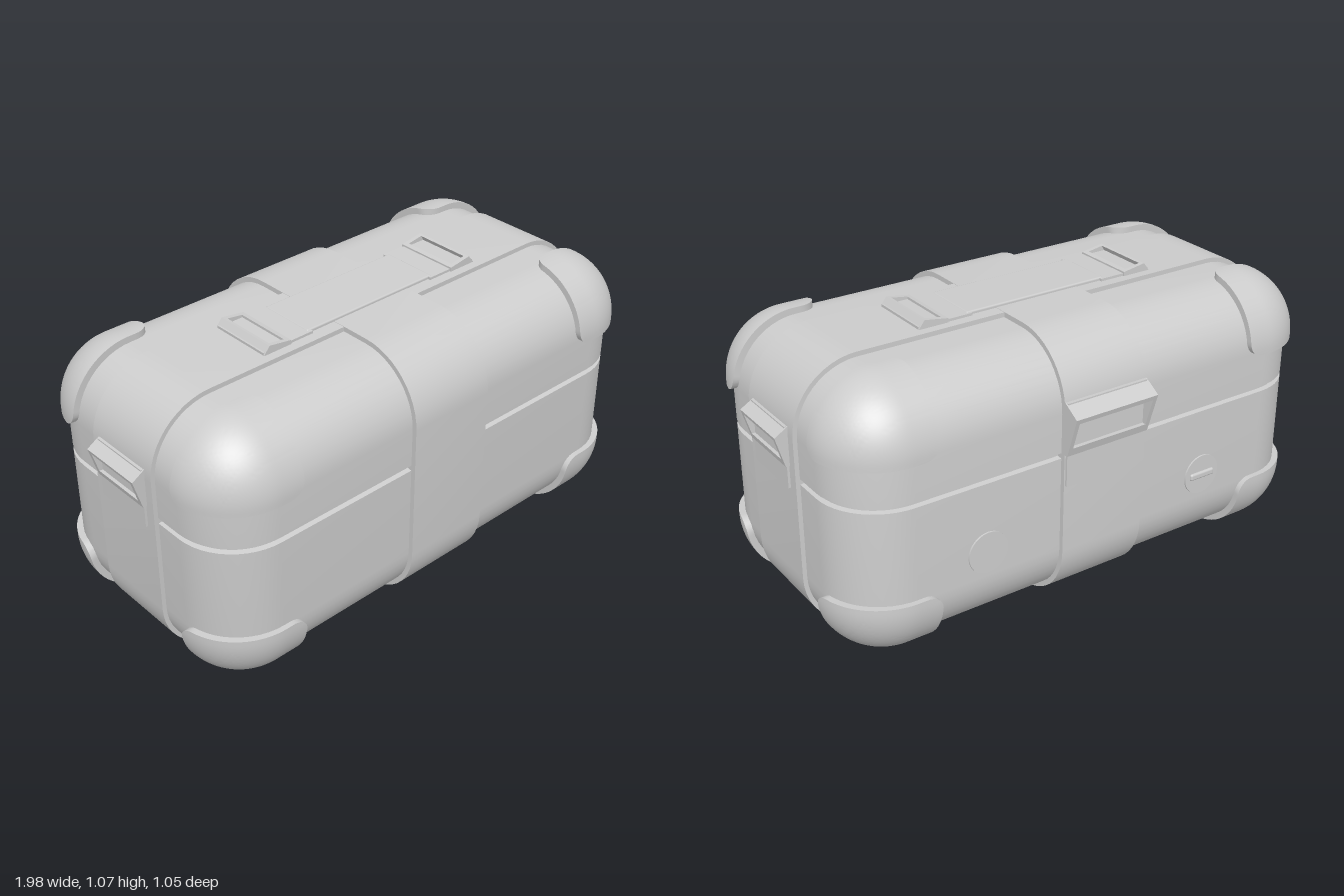
import * as THREE from 'three';
import { toCreasedNormals } from 'three/addons/utils/BufferGeometryUtils.js';
import { RoundedBoxGeometry } from 'three/addons/geometries/RoundedBoxGeometry.js';

const material = new THREE.MeshStandardMaterial({ color: 0xcccccc });

function add(parent, name, geometry, x = 0, y = 0, z = 0) {
  const mesh = new THREE.Mesh(geometry, material);
  mesh.name = name;
  mesh.position.set(x, y, z);
  parent.add(mesh);
  return mesh;
}

function fromTriangles(points) {
  const g = new THREE.BufferGeometry().setFromPoints(points);
  g.computeVertexNormals();
  return toCreasedNormals(g, 0.55);
}

// Outline of a rounded rectangle with half sizes w, h and corner radius r
function roundedRect(w, h, r, steps = 12) {
  const pts = [];
  [[1, 1], [-1, 1], [-1, -1], [1, -1]].forEach(([sx, sy], q) => {
    for (let i = 0; i <= steps; i++) {
      const a = (q + i / steps) * Math.PI / 2;
      pts.push(new THREE.Vector2(sx * (w - r) + r * Math.cos(a), sy * (h - r) + r * Math.sin(a)));
    }
  });
  return pts;
}

// Case body: rounded rectangles stacked from bottom to top, with the lid groove
function bodyGeometry(w, h, d, r, seam) {
  const profile = [], steps = 12;
  for (let i = 0; i <= steps; i++) {
    const a = (1 - i / steps) * Math.PI / 2;
    profile.push([r * (1 - Math.cos(a)), -(h - r) - r * Math.sin(a)]);
  }
  const top = profile.map(([inset, y]) => [inset, -y]).reverse();
  profile.push([0, seam - 0.01], [0.018, seam - 0.007], [0.018, seam + 0.007], [0, seam + 0.01], ...top);
  const rings = profile.map(([inset, y]) =>
    roundedRect(w - inset, d - inset, Math.max(r - inset, 0.0005)).map(p => new THREE.Vector3(p.x, y, p.y)));
  const tris = [], n = rings[0].length;
  const low = new THREE.Vector3(0, -h, 0), high = new THREE.Vector3(0, h, 0);
  const last = rings[rings.length - 1];
  for (let j = 0; j < n; j++) {
    const k = (j + 1) % n;
    for (let i = 0; i < rings.length - 1; i++) {
      const [a, b] = [rings[i], rings[i + 1]];
      tris.push(a[j], b[j], b[k], a[j], b[k], a[k]);
    }
    tris.push(low, rings[0][j], rings[0][k], high, last[k], last[j]);
  }
  return fromTriangles(tris);
}

// Solid strap with a rounded outline, centred along its width
function strapGeometry(w, h, r, width) {
  const g = new THREE.ExtrudeGeometry(new THREE.Shape(roundedRect(w, h, r)), { depth: width, bevelEnabled: false });
  return toCreasedNormals(g.translate(0, 0, -width / 2), 0.5);
}

// Corner guard: three faces of a rounded box corner, with a skirt down to the body
function cornerGeometry(signs) {
  const half = [0.953, 0.4925, 0.495], inner = [0.63, 0.243, 0.255];
  const r = 0.235, rho = 0.055, n = 20, skirt = 0.035;
  const flip = signs[0] * signs[1] * signs[2] < 0;
  const tris = [];
  for (let k = 0; k < 3; k++) {
    const i = (k + 1) % 3, j = (k + 2) % 3;
    const point = (u, v) => {
      const p = [0, 0, 0];
      p[k] = half[k];
      p[i] = inner[i] + (half[i] - inner[i]) * Math.max(u, 0) / n;
      p[j] = inner[j] + (half[j] - inner[j]) * Math.max(v, 0) / n;
      // round the inner corner of the outline
      const di = p[i] - inner[i] - rho, dj = p[j] - inner[j] - rho;
      if (di < 0 && dj < 0) {
        const s = Math.max(-di, -dj) / Math.hypot(di, dj);
        p[i] = inner[i] + rho + di * s;
        p[j] = inner[j] + rho + dj * s;
      }
      const core = p.map((c, m) => Math.min(c, half[m] - r));
      const normal = new THREE.Vector3(...p.map((c, m) => c - core[m])).normalize();
      const depth = u < 0 || v < 0 ? r - skirt : r;
      const out = new THREE.Vector3(...core).addScaledVector(normal, depth);
      return out.multiply(new THREE.Vector3(...signs));
    };
    for (let u = -1; u < n; u++) for (let v = -1; v < n; v++) {
      if (u < 0 && v < 0) continue;
      const a = point(u, v), b = point(u + 1, v), c = point(u + 1, v + 1), d = point(u, v + 1);
      if (flip) tris.push(a, c, b, a, d, c);
      else tris.push(a, b, c, a, c, d);
    }
  }
  return fromTriangles(tris);
}

// Latch: wedge-shaped open frame over a thin plate; local y runs along it, z points outwards
function latch(parent, name, size, position, up, out) {
  const { width, length, rise, plate } = size;
  const group = new THREE.Group();
  group.name = name;
  const prism = (part, profile, w, x) => {
    const shape = new THREE.Shape(profile.map(([o, s]) => new THREE.Vector2(o, -s)));
    const g = new THREE.ExtrudeGeometry(shape, { depth: w, bevelEnabled: false });
    add(group, part, g.translate(0, 0, -w / 2).rotateY(-Math.PI / 2), x);
  };
  const peak = length * 0.2, foot = 0.014, bar = length * 0.16;
  const slope = s => rise + (foot - rise) * (s - peak) / (length - peak);
  for (const side of [-1, 1]) {
    prism('latchCheek', [[-0.02, 0], [0, 0], [rise, peak], [foot, length], [-0.02, length]],
      0.016, side * (width / 2 - 0.008));
  }
  prism('latchLip', [[-0.02, 0], [0, 0], [rise, peak], [slope(peak + bar * 0.6), peak + bar * 0.6],
    [0, bar], [-0.02, bar]], width - 0.002, 0);
  prism('latchFoot', [[-0.02, length - bar], [slope(length - bar), length - bar], [foot, length], [-0.02, length]],
    width - 0.002, 0);
  add(group, 'latchPlate', new THREE.BoxGeometry(width - 0.01, plate, 0.026), 0, -plate / 2, -0.005);
  const y = new THREE.Vector3(...up), z = new THREE.Vector3(...out);
  group.quaternion.setFromRotationMatrix(new THREE.Matrix4().makeBasis(y.clone().cross(z), y, z));
  group.position.set(...position);
  parent.add(group);
}

export function createModel() {
  const model = new THREE.Group();
  model.name = 'hardCase';
  const box = new THREE.Group();
  box.name = 'tiltedCase';
  model.add(box);

  add(box, 'body', bodyGeometry(0.932, 0.47, 0.476, 0.22, 0.1));

  // Straps crossing on the top and bottom
  add(box, 'lengthwiseStrap', strapGeometry(0.947, 0.4865, 0.235, 0.305));
  add(box, 'crosswiseStrap', strapGeometry(0.493, 0.4875, 0.235, 0.33).rotateY(Math.PI / 2));

  // Eight corner guards
  for (const x of [-1, 1]) for (const y of [-1, 1]) for (const z of [-1, 1]) {
    add(box, 'cornerGuard', cornerGeometry([x, y, z]));
  }

  // Back latch and one latch on each end
  latch(box, 'backLatch', { width: 0.33, length: 0.185, rise: 0.06, plate: 0.3 },
    [0, 0.295, -0.493], [0, 1, 0], [0, 0, -1]);
  for (const side of [-1, 1]) {
    latch(box, 'endLatch', { width: 0.24, length: 0.135, rise: 0.045, plate: 0.215 },
      [side * 0.947, 0.282, 0], [0, 1, 0], [side, 0, 0]);
    // Handle mounts on the top
    latch(box, 'handleMount', { width: 0.24, length: 0.11, rise: 0.028, plate: 0.205 },
      [side * 0.47, 0.4875, 0], [side, 0, 0], [0, 1, 0]);
  }
  add(box, 'handleBar', new RoundedBoxGeometry(0.56, 0.03, 0.21, 2, 0.006), 0, 0.483, 0);

  // Round plugs on the back, one with a slot bar
  for (const side of [-1, 1]) {
    add(box, 'backPlug', new THREE.CylinderGeometry(0.074, 0.076, 0.02, 40).rotateX(-Math.PI / 2),
      side * 0.45, -0.16, -0.471);
  }
  add(box, 'plugBar', new RoundedBoxGeometry(0.105, 0.026, 0.02, 2, 0.008), -0.45, -0.16, -0.479);

  // The case rests slightly tilted
  box.rotation.set(0.041, 0, 0.037);
  box.position.set(0, 0.53, 0.02);
  box.updateMatrixWorld(true);
  const bounds = new THREE.Box3().setFromObject(box, true);
  box.position.y -= bounds.min.y;
  box.position.x -= (bounds.min.x + bounds.max.x) / 2;
  box.position.z -= (bounds.min.z + bounds.max.z) / 2;
  return model;
}
